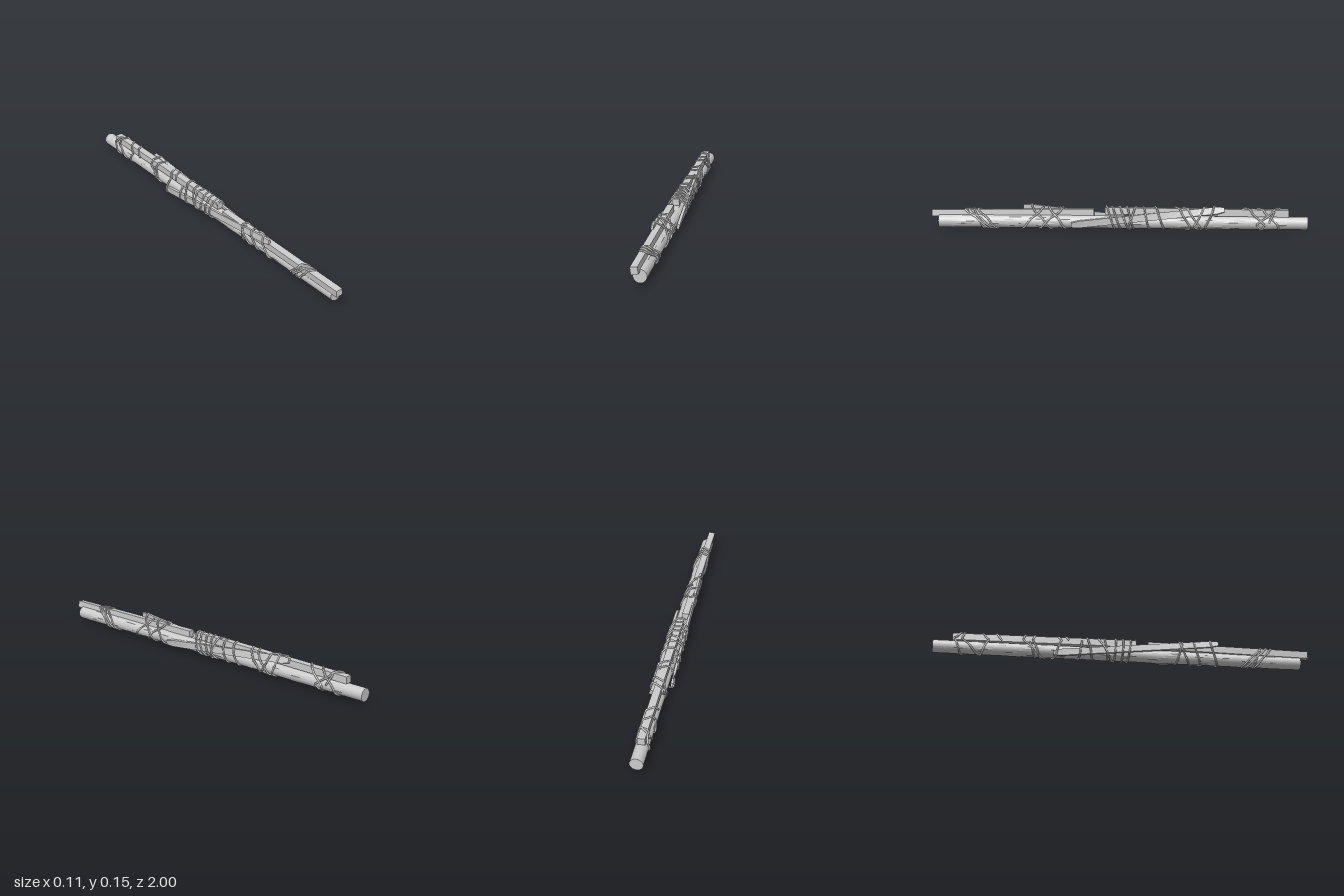
import * as THREE from 'three';

const POLE = { x: 0.002, y: 0.046, r: 0.034 };

// Squared timbers: a = front end [x, y, z, roll], b = back end, w/h = section, taper = end narrowing
const STICKS = [
  { name: 'frontBar', a: [-0.016, 0.086, 1, 0.12], b: [-0.018, 0.095, 0.13, 0.03], w: 0.036, h: 0.037, taper: 1 },
  { name: 'backBar', a: [-0.003, 0.107, 0.07, 0.05], b: [0, 0.099, -0.9, 0], w: 0.038, h: 0.037, taper: 1 },
  { name: 'leftSplint', a: [0.044, 0.036, 0.25, -0.2], b: [0.025, 0.119, -0.56, 0.4], w: 0.015, h: 0.038, taper: 0.65 },
  { name: 'rightSplint', a: [-0.036, 0.12, 0.51, -0.12], b: [-0.041, 0.021, -0.37, 0.1], w: 0.013, h: 0.036, taper: 0.65 },
];

// Ropes: z position at each half turn, alternating over the top and under the bottom
const ROPES = [
  [0.80, 0.66, 0.80, 0.70, 0.75, 0.64, 0.77, 0.71, 0.82, 0.68],
  [0.40, 0.51, 0.46, 0.36, 0.29, 0.42, 0.37, 0.28, 0.32],
  [0.07, 0.02, 0.04, -0.01, 0.0, -0.05, -0.04, -0.08, -0.10, -0.05, -0.13, -0.16, -0.19, -0.24, -0.22],
  [-0.29, -0.38, -0.33, -0.43, -0.48, -0.40, -0.53, -0.46, -0.50],
  [-0.64, -0.77, -0.71, -0.84, -0.89, -0.73, -0.85, -0.79],
];

const grey = new THREE.MeshStandardMaterial({ color: 0xcccccc });
const faceted = new THREE.MeshStandardMaterial({ color: 0xcccccc, flatShading: true });
const open = new THREE.MeshStandardMaterial({ color: 0xcccccc, flatShading: true, side: THREE.DoubleSide });

function part(name, geometry, material) {
  const mesh = new THREE.Mesh(geometry, material);
  mesh.name = name;
  return mesh;
}

// Point of a stick's section: u, v in -0.5..0.5, t from front (0) to back (1)
function stickPoint(s, u, v, t) {
  const [cx, cy, z, roll] = s.a.map((n, i) => n + (s.b[i] - n) * t);
  const k = t < 0.001 || t > 0.999 ? s.taper : 1;
  const x = u * s.w, y = v * s.h * k;
  const c = Math.cos(roll), n = Math.sin(roll);
  return [cx + x * c - y * n, cy + x * n + y * c, z];
}

function stickGeometry(s) {
  const g = new THREE.BoxGeometry(1, 1, 1, 1, 1, 20);
  const p = g.attributes.position;
  for (let i = 0; i < p.count; i++) {
    p.setXYZ(i, ...stickPoint(s, p.getX(i), p.getY(i), 0.5 - p.getZ(i)));
  }
  g.computeVertexNormals();
  return g;
}

// Thin uneven bark that breaks through the pole's surface in patches
function barkGeometry() {
  const g = new THREE.CylinderGeometry(1, 1, 1.78, 18, 70, true).rotateX(Math.PI / 2);
  const p = g.attributes.position;
  for (let i = 0; i < p.count; i++) {
    const a = Math.atan2(p.getY(i), p.getX(i)), z = p.getZ(i);
    const lump = Math.sin(a * 3 + z * 9) * Math.sin(z * 17 - a * 2) + 0.5 * Math.sin(z * 41 + a * 5);
    const r = POLE.r - 0.0002 + 0.0018 * lump;
    p.setXYZ(i, POLE.x + Math.cos(a) * r, POLE.y + Math.sin(a) * r, z);
  }
  g.computeVertexNormals();
  return g;
}

// Distance from the bundle's axis to its taut outline at angle a and depth z
const AXIS = { x: 0, y: 0.066 };
function outline(a, z) {
  const corners = [];
  for (const s of STICKS) {
    const t = (z - s.a[2]) / (s.b[2] - s.a[2]);
    if (t < 0 || t > 1) continue;
    for (const u of [-0.5, 0.5]) for (const v of [-0.5, 0.5]) corners.push(stickPoint(s, u, v, t));
  }
  let best = Infinity;
  for (let d = -1.45; d <= 1.45; d += 0.058) {
    const c = Math.cos(a + d), n = Math.sin(a + d);
    let h = (POLE.x - AXIS.x) * c + (POLE.y - AXIS.y) * n + POLE.r;
    for (const [x, y] of corners) h = Math.max(h, (x - AXIS.x) * c + (y - AXIS.y) * n);
    best = Math.min(best, h / Math.cos(d));
  }
  return best;
}

function ropeGeometry(stops, index) {
  const points = [], steps = 14;
  for (let i = 0; i < (stops.length - 1) * steps; i++) {
    const k = Math.floor(i / steps), f = (i % steps) / steps;
    const z = stops[k] + (stops[k + 1] - stops[k]) * f;
    const a = Math.PI / 2 - (i / steps) * Math.PI + 0.25 * index;
    const r = outline(a, z) + 0.003 + 0.0012 * Math.sin(k * 2.3);
    points.push(new THREE.Vector3(AXIS.x + Math.cos(a) * r, AXIS.y + Math.sin(a) * r, z));
  }
  const path = new THREE.CatmullRomCurve3(points);
  return new THREE.TubeGeometry(path, points.length * 2, 0.005, 6);
}

export function createModel() {
  const model = new THREE.Group();
  model.name = 'lashedPole';

  // Round main pole
  const pole = part('pole', new THREE.CylinderGeometry(POLE.r, POLE.r, 1.96, 24), grey);
  pole.rotation.x = Math.PI / 2;
  pole.position.set(POLE.x, POLE.y, -0.02);
  model.add(pole, part('bark', barkGeometry(), open));

  // Bars on top and splints across the sides
  for (const s of STICKS) model.add(part(s.name, stickGeometry(s), faceted));

  // Rope lashings with knotted ends tucked in
  ROPES.forEach((stops, i) => model.add(part('ropeLashing' + (i + 1), ropeGeometry(stops, i), grey)));

  return model;
}
